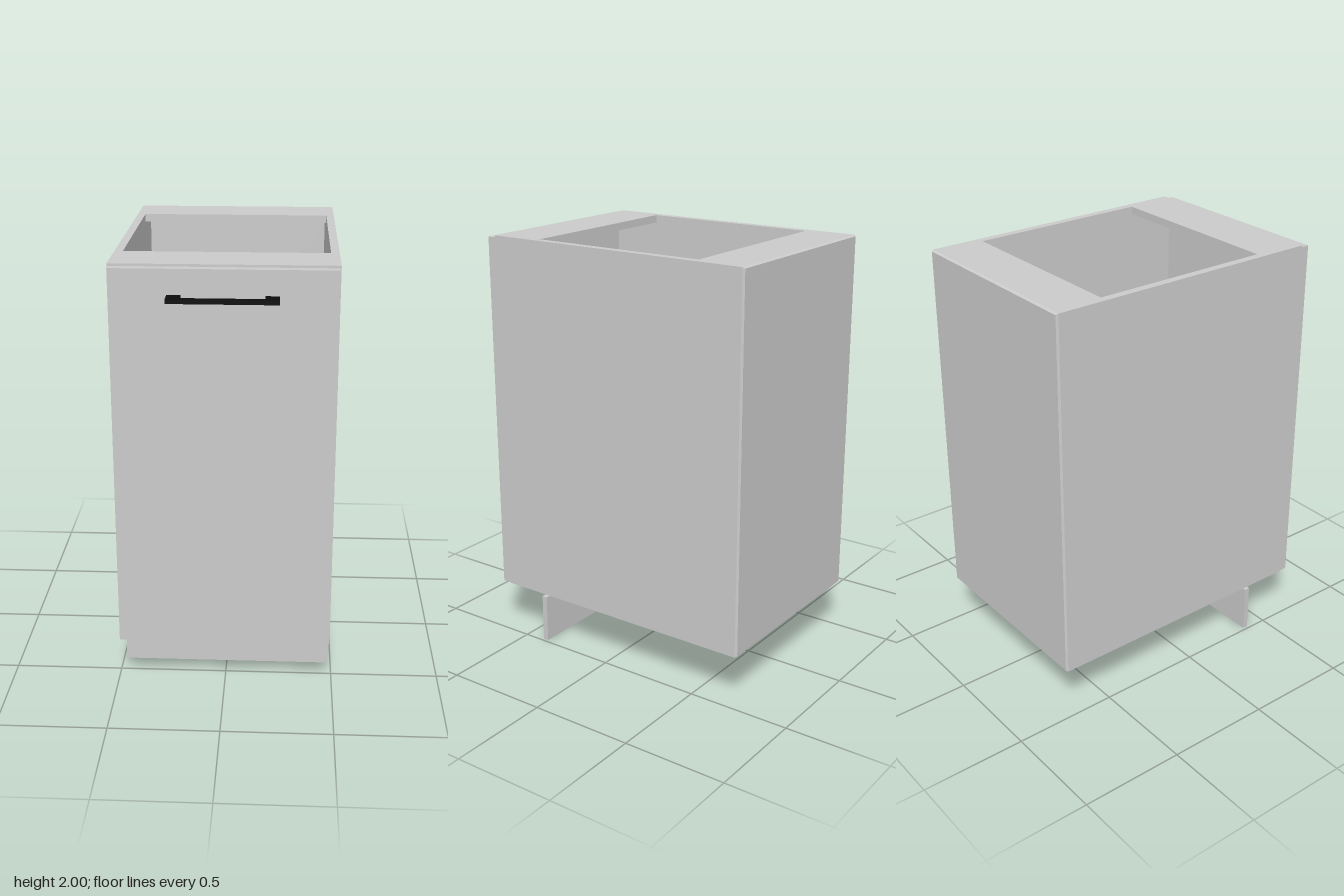
import * as THREE from 'three';

const grey = new THREE.MeshStandardMaterial({ color: 0xcccccc, flatShading: true });
const black = new THREE.MeshStandardMaterial({ color: 0x0c0c0c, flatShading: true });

// Box given by its lower and upper corner
function panel(name, [x0, y0, z0], [x1, y1, z1], material = grey) {
  const geometry = new THREE.BoxGeometry(x1 - x0, y1 - y0, z1 - z0);
  geometry.translate((x0 + x1) / 2, (y0 + y1) / 2, (z0 + z1) / 2);
  const mesh = new THREE.Mesh(geometry, material);
  mesh.name = name;
  return mesh;
}

export function createModel() {
  const model = new THREE.Group();
  model.name = 'baseCabinet';
  const W = 0.485, IN = 0.448, T = 0.037;      // half width, inner half width, board thickness
  const Y0 = 0.25, Y1 = 2, BACK = -0.73, FRONT = 0.615, INNER_BACK = -0.72;

  // Carcass: sides, bottom and two top rails
  const carcass = new THREE.Group();
  carcass.name = 'carcass';
  carcass.add(
    panel('leftSide', [IN, Y0, INNER_BACK], [W, Y1, FRONT]),
    panel('rightSide', [-W, Y0, INNER_BACK], [-IN, Y1, FRONT]),
    panel('bottom', [-IN, Y0, INNER_BACK], [IN, Y0 + T, FRONT]),
    panel('frontRail', [-IN, Y1 - T, 0.375], [IN, Y1, FRONT]),
    panel('backRail', [-IN, Y1 - T, INNER_BACK], [IN, Y1, -0.485])
  );

  // Thin back panel, its rear edges chamfered
  const back = panel('backPanel', [-W, Y0, BACK], [W, Y1, INNER_BACK]);
  const p = back.geometry.attributes.position;
  for (let i = 0; i < p.count; i++) {
    if (p.getZ(i) > BACK + 0.005) continue;
    p.setX(i, p.getX(i) - Math.sign(p.getX(i)) * 0.006);
    p.setY(i, p.getY(i) + (p.getY(i) > 1 ? -0.006 : 0.006));
  }
  back.geometry.computeVertexNormals();
  carcass.add(back);

  // Door with its handle
  const door = panel('door', [-0.48, Y0, 0.619], [0.48, 1.99, 0.66]);
  const handle = new THREE.Group();
  handle.name = 'handle';
  handle.add(panel('handleBar', [-0.175, 1.86, 0.708], [0.175, 1.88, 0.73], black));
  for (const s of [-1, 1]) {
    handle.add(panel('handleFoot', [s * 0.205 - 0.03, 1.86, 0.66], [s * 0.205 + 0.03, 1.88, 0.73], black));
  }

  // Plinth board set back below the carcass
  const plinth = panel('plinth', [-W, 0, 0.375], [W, 0.235, 0.402]);

  model.add(carcass, door, handle, plinth);
  return model;
}
